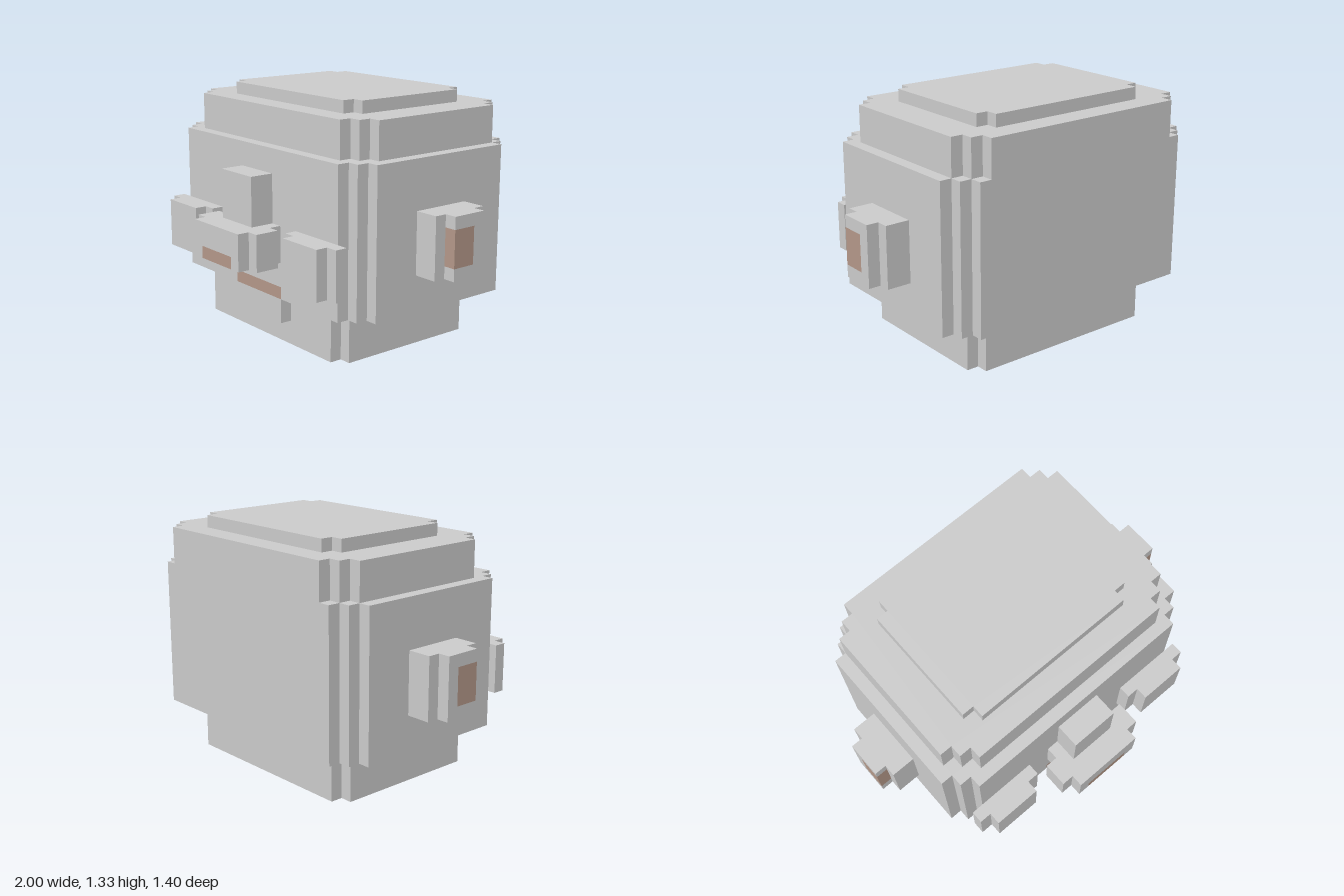
import * as THREE from 'three';

const U = 1 / 15; // one block
const grey = new THREE.MeshStandardMaterial({ color: 0xcccccc, flatShading: true });
const brown = new THREE.MeshStandardMaterial({ color: 0xb49889, flatShading: true });

// Block spanning the given ranges, in block units
function block(name, [x0, x1], [y0, y1], [z0, z1], material = grey) {
  const mesh = new THREE.Mesh(new THREE.BoxGeometry((x1 - x0) * U, (y1 - y0) * U, (z1 - z0) * U), material);
  mesh.position.set((x0 + x1) / 2 * U, (y0 + y1) / 2 * U, (z0 + z1) / 2 * U);
  mesh.name = name;
  return mesh;
}

// Slab with stair-stepped corners; notch is the half-width of a one-block recess in its front
function slab(name, halfX, [y0, y1], [z0, z1], steps, notch = 0) {
  const corner = []; // staircase from the side to the end, as insets in x and z
  for (let i = 0; i < steps; i++) corner.push([i, steps - i], [i + 1, steps - i]);
  corner.push([steps, 0]);
  const right = corner.map(([i, j]) => [halfX - i, z1 - j]);
  const rightBack = corner.map(([i, j]) => [halfX - i, z0 + j]).reverse();
  const mirror = (pts) => pts.map(([x, z]) => [-x, z]).reverse();
  const recess = notch ? [[notch, z1], [notch, z1 - 1], [-notch, z1 - 1], [-notch, z1]] : [];
  const outline = [...rightBack, ...right, ...recess, ...mirror(right), ...mirror(rightBack)];
  const shape = new THREE.Shape(outline.map(([x, z]) => new THREE.Vector2(x * U, -z * U)));
  const geometry = new THREE.ExtrudeGeometry(shape, { depth: (y1 - y0) * U, bevelEnabled: false });
  geometry.rotateX(-Math.PI / 2);
  const mesh = new THREE.Mesh(geometry, grey);
  mesh.position.y = y0 * U;
  mesh.name = name;
  return mesh;
}

export function createModel() {
  const model = new THREE.Group();
  model.name = 'blockHead';

  // Neck, head and crown, stacked upward
  model.add(
    slab('neck', 9, [0, 4], [-8.5, 5.5], 1),
    slab('jaw', 12, [4, 5], [-10.5, 6.5], 2, 3),
    slab('head', 12, [5, 16], [-10.5, 6.5], 2),
    slab('upperHead', 11, [16, 19], [-10.5, 5.5], 2),
    slab('crown', 8, [19, 20], [-8.5, 3.5], 1),
  );

  // Mouth and chin
  model.add(
    block('mouth', [-3, 3], [4, 5], [5.5, 6.5], brown),
    block('chin', [-2, 3], [2, 4], [5.5, 6.5]),
  );

  // Nose with coloured lower edge, and its bridge
  model.add(
    slab('noseBase', 4, [7, 8], [6.5, 10.5], 1, 2),
    slab('nose', 4, [8, 10], [6.5, 10.5], 1),
    block('nostrils', [-2, 2], [7, 8], [9.5, 10.5], brown),
    block('noseBridge', [-2, 2], [10, 14], [6.5, 8.5]),
  );

  // Cheeks and ears on both sides
  for (const [side, s] of [['left', 1], ['right', -1]]) {
    const span = (a, b) => (s > 0 ? [a, b] : [-b, -a]);
    model.add(
      block(side + 'Cheek', span(5, 11), [6, 10], [6.5, 7.5]),
      block(side + 'CheekFront', span(6, 10), [6, 10], [7.5, 8.5]),
      block(side + 'Ear', span(12, 14), [7, 12], [-4.5, 0.5]),
      block(side + 'EarRimBottom', span(14, 15), [7, 8], [-3.5, -0.5]),
      block(side + 'EarRimTop', span(14, 15), [11, 12], [-3.5, -0.5]),
      block(side + 'EarRimBack', span(14, 15), [8, 11], [-3.5, -2.5]),
      block(side + 'InnerEar', span(14, 15), [8, 11], [-2.5, -0.5], brown),
    );
  }
  return model;
}
